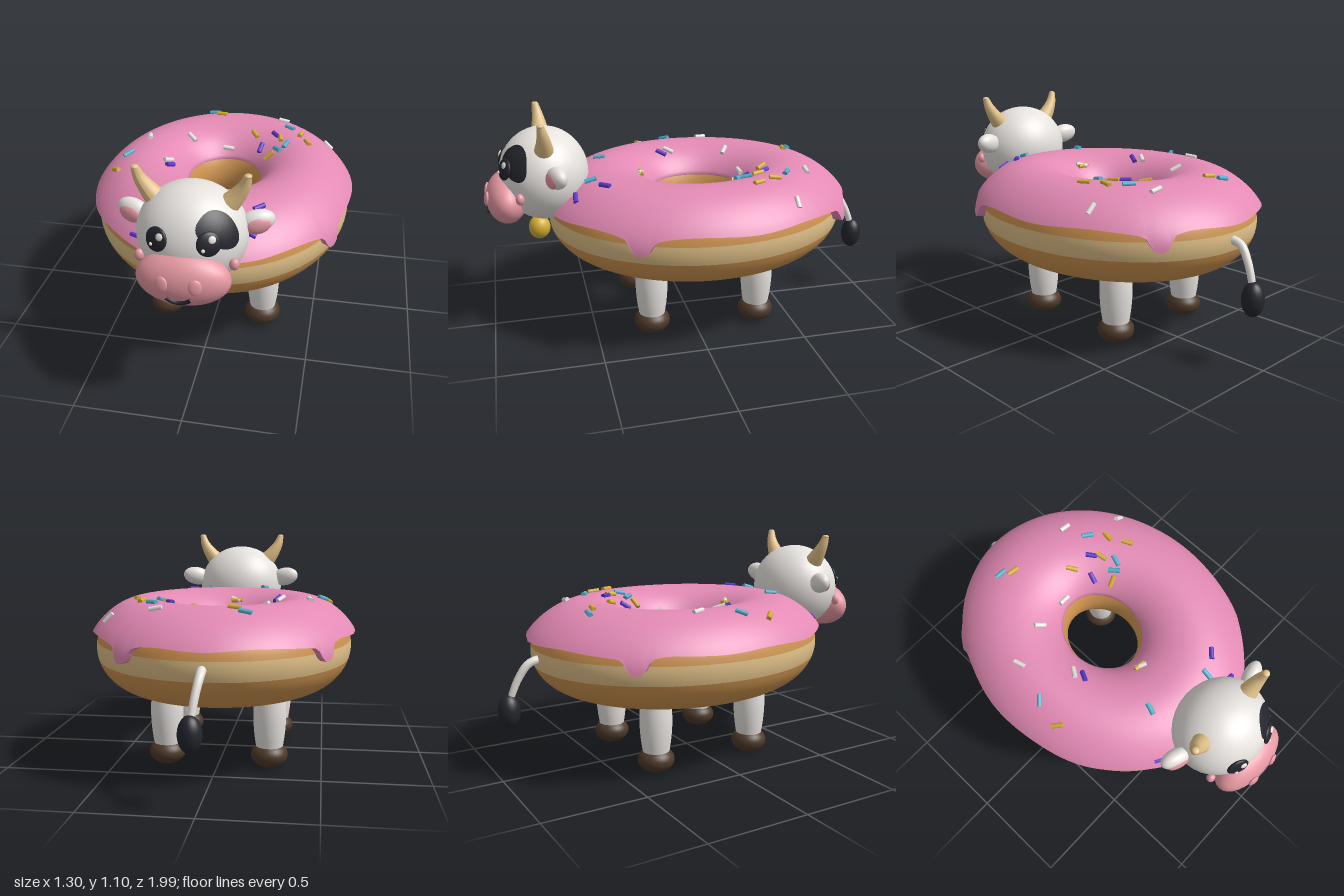
import * as THREE from 'three';

const paint = (name, color) => Object.assign(new THREE.MeshStandardMaterial({ color }), { name });
const V = (x, y, z) => new THREE.Vector3(x, y, z);

// Ring body: a tube swept around an ellipse
const R = 0.4, RX = 0.235, RY = 0.222, CY = 0.57, CZ = -0.06, SZ = 1.18;
const rad = THREE.MathUtils.degToRad;

export function createModel() {
  const mat = {
    frosting: paint('pinkFrosting', 0xe38ab4),
    dough: paint('goldenDough', 0xcf9450),
    cream: paint('cream', 0xdfbf87),
    white: paint('softWhite', 0xe6e2de),
    muzzle: paint('muzzlePink', 0xe598a2),
    hoof: paint('hoofBrown', 0x4d3929),
    black: paint('black', 0x24252d),
    gold: paint('gold', 0xd4ae34),
    purple: paint('purple', 0x5c38cc),
    blue: paint('blue', 0x50b0cc),
  };
  const model = new THREE.Group();
  model.name = 'donutCow';

  const add = (name, geometry, material, parent = model) => {
    const mesh = new THREE.Mesh(geometry, material);
    mesh.name = name;
    parent.add(mesh);
    return mesh;
  };
  const ball = (name, material, pos, radii, parent) => {
    const m = add(name, new THREE.SphereGeometry(1, 32, 24), material, parent);
    m.position.set(...pos);
    m.scale.set(...radii);
    return m;
  };
  // Tube whose radius runs from r0 to r1, with rounded-off end cap
  const taper = (name, material, points, r0, r1) => {
    const curve = new THREE.CatmullRomCurve3(points);
    const geo = new THREE.TubeGeometry(curve, 20, 1, 16);
    const p = geo.attributes.position, v = V(0, 0, 0);
    for (let i = 0; i < p.count; i++) {
      const t = Math.floor(i / 17) / 20, c = curve.getPointAt(t);
      v.fromBufferAttribute(p, i).sub(c).multiplyScalar(THREE.MathUtils.lerp(r0, r1, t)).add(c);
      p.setXYZ(i, v.x, v.y, v.z);
    }
    geo.computeVertexNormals();
    add(name, geo, material);
    const end = points[points.length - 1];
    ball(name + 'Tip', material, end.toArray(), [r1, r1 * 0.6, r1]);
  };

  // Dough and its pale middle band
  const ringZone = (name, material, from, to, steps) => {
    const pts = [];
    for (let i = 0; i <= steps; i++) {
      const a = rad(from + (to - from) * i / steps);
      pts.push(new THREE.Vector2(R + RX * Math.cos(a), RY * Math.sin(a)));
    }
    const m = add(name, new THREE.LatheGeometry(pts, 96), material);
    m.position.set(0, CY, CZ);
    m.scale.z = SZ;
  };
  ringZone('doughBand', mat.cream, -15.5, 8, 6);
  ringZone('dough', mat.dough, 8, 344.5, 56);

  // Frosting shell with a flared rim and three drips
  const rows = 34, segs = 240;
  const shell = new THREE.LatheGeometry(Array.from({ length: rows }, (_, i) => new THREE.Vector2(1, i)), segs);
  const drips = [30, -56, 219];
  const sp = shell.attributes.position;
  for (let i = 0; i <= segs; i++) {
    const phi = (i % segs) / segs * Math.PI * 2, th = Math.PI / 2 - phi;
    let edge = 19.5 + 1.2 * Math.sin(9 * th);
    for (const d of drips) {
      const diff = Math.atan2(Math.sin(th - rad(d)), Math.cos(th - rad(d)));
      edge -= 15 * Math.exp(-((diff / 0.07) ** 4)) + 5 * Math.exp(-((diff / 0.13) ** 2));
    }
    for (let j = 0; j < rows; j++) {
      const u = Math.max(0, j - 2) / (rows - 4);
      const a = rad(edge + (155 - edge) * Math.min(u, 1));
      const buried = j === 0 || j === rows - 1;
      const lift = buried ? -0.006 : 0.005 + 0.033 * Math.max(0, Math.cos(a)) ** 4;
      const rho = R + (RX + lift) * Math.cos(a);
      const y = CY + (RY + (buried ? -0.006 : 0.011)) * Math.sin(a);
      sp.setXYZ(i * rows + j, rho * Math.sin(phi), y, CZ + SZ * rho * Math.cos(phi));
    }
  }
  shell.computeVertexNormals();
  add('frosting', shell, mat.frosting);

  // Sprinkles: x, z, turn in degrees seen from above
  const sprinkles = {
    blue: [[-0.16, -0.61, -10], [0.29, -0.44, -35], [0.29, -0.24, 70], [0.25, -0.215, -50],
      [-0.49, 0, 40], [-0.165, 0.41, 70], [0.15, 0.49, 88]],
    gold: [[-0.11, -0.57, -12], [0.11, -0.375, -60], [0.355, -0.36, 80], [0.255, -0.31, -80],
      [0.4, -0.265, -65], [0.21, -0.19, 20], [-0.515, 0.14, -35], [-0.03, 0.22, 0]],
    white: [[0.245, -0.56, 0], [0.5, -0.42, 15], [-0.025, -0.305, -5], [-0.22, -0.275, -35],
      [-0.43, -0.195, -75], [-0.28, 0.02, 50], [-0.025, 0.225, -35]],
    purple: [[0.225, -0.35, -55], [0.155, -0.275, 65], [-0.26, 0.065, 55], [0.245, 0.435, 45],
      [0.225, 0.57, -20], [-0.285, 0.59, -20]],
  };
  const stick = new THREE.CylinderGeometry(0.012, 0.012, 0.058, 12);
  for (const [color, list] of Object.entries(sprinkles)) {
    for (const [x, z, turn] of list) {
      const zn = (z - CZ) / SZ, rho = Math.hypot(x, zn);
      const c = THREE.MathUtils.clamp((rho - R) / (RX + 0.012), -1, 1), s = Math.sqrt(1 - c * c);
      const n = V(c * x / rho, s, c * zn / rho / SZ).normalize();
      const d = V(Math.cos(rad(turn)), 0, -Math.sin(rad(turn))).projectOnPlane(n).normalize();
      const m = add(color + 'Sprinkle', stick, mat[color]);
      m.position.set(x, CY + (RY + 0.011) * s, z).addScaledVector(n, 0.004);
      m.quaternion.setFromUnitVectors(V(0, 1, 0), d);
    }
  }

  // Legs with rounded, flat-topped hooves
  const profile = list => new THREE.LatheGeometry(new THREE.SplineCurve(list.map(p => new THREE.Vector2(...p))).getPoints(24), 32);
  const legGeo = profile([[0.064, 0.1], [0.074, 0.17], [0.079, 0.25], [0.076, 0.33], [0.066, 0.42]]);
  const hoofPts = [];
  for (let i = 0; i <= 20; i++) {
    const a = rad(-90 + 138 * i / 20);
    hoofPts.push(new THREE.Vector2(Math.max(0, 0.089 * Math.cos(a)), 0.063 + 0.063 * Math.sin(a)));
  }
  const hoofGeo = new THREE.LatheGeometry(hoofPts, 32);
  for (const x of [-0.25, 0.25]) for (const z of [0.225, -0.32]) {
    const leg = new THREE.Group();
    leg.name = z > 0 ? 'frontLeg' : 'backLeg';
    leg.position.set(x, 0, z);
    model.add(leg);
    add('legShaft', legGeo, mat.white, leg);
    add('hoof', hoofGeo, mat.hoof, leg);
    const lid = add('hoofTop', new THREE.CircleGeometry(0.06, 32), mat.hoof, leg);
    lid.rotation.x = -Math.PI / 2;
    lid.position.y = 0.11;
  }
  const legSpot = ball('legSpot', mat.black, [-0.216, 0.23, 0.292], [0.028, 0.037, 0.011]);
  legSpot.rotation.set(0, 0.45, -0.3);

  // Tail
  taper('tail', mat.white, [V(0, 0.57, -0.78), V(0, 0.55, -0.85), V(0.012, 0.48, -0.9), V(0.025, 0.38, -0.94)], 0.021, 0.016);
  ball('tailTuft', mat.black, [0.027, 0.33, -0.944], [0.052, 0.08, 0.052]);

  // Head
  const HC = [0, 0.8, 0.7], HR = [0.24, 0.225, 0.215];
  ball('head', mat.white, HC, HR);
  ball('muzzle', mat.muzzle, [0, 0.69, 0.885], [0.2, 0.121, 0.1]);
  ball('bell', mat.gold, [0, 0.516, 0.74], [0.053, 0.06, 0.053]);

  // Point on an ellipsoid's front, and a flat button facing out from it
  const front = (c, r, x, y) => c[2] + r[2] * Math.sqrt(Math.max(0, 1 - ((x - c[0]) / r[0]) ** 2 - ((y - c[1]) / r[1]) ** 2));
  const button = (name, material, c, r, x, y, radii, lift = 0) => {
    const p = V(x, y, front(c, r, x, y));
    const n = V((x - c[0]) / r[0] ** 2, (y - c[1]) / r[1] ** 2, (p.z - c[2]) / r[2] ** 2).normalize();
    const m = ball(name, material, p.clone().addScaledVector(n, lift).toArray(), radii);
    m.lookAt(m.position.clone().add(n));
  };

  // Eye patch wrapped on the head
  const patchGeo = new THREE.RingGeometry(0, 1, 48, 8);
  const pp = patchGeo.attributes.position;
  const aim = new THREE.Quaternion().setFromUnitVectors(V(0, 0, 1), V(0.6, 0.45, 0.66).normalize());
  for (let i = 0; i < pp.count; i++) {
    const v = V(pp.getX(i), pp.getY(i), 0), t = Math.atan2(v.y, v.x);
    v.multiplyScalar(1 + 0.08 * Math.cos(3 * t + 0.6)).multiply(V(0.46, 0.35, 1));
    v.applyAxisAngle(V(0, 0, 1), -0.5).setZ(1).normalize().applyQuaternion(aim).multiplyScalar(1.012);
    pp.setXYZ(i, HC[0] + v.x * HR[0], HC[1] + v.y * HR[1], HC[2] + v.z * HR[2]);
  }
  patchGeo.computeVertexNormals();
  add('eyePatch', patchGeo, mat.black);

  // Paired face parts, mirrored by side
  const MC = [0, 0.69, 0.885], MR = [0.2, 0.121, 0.1];
  for (const s of [-1, 1]) {
    button('eye', mat.black, HC, HR, s * 0.107, 0.86, [0.052, 0.052, 0.016]);
    button('nostril', mat.muzzle, MC, MR, s * 0.069, 0.71, [0.028, 0.035, 0.011], 0.002);
    ball('cheek', mat.muzzle, [s * 0.2, 0.738, 0.825], [0.022, 0.027, 0.02]);
    taper('horn', mat.cream, [V(s * 0.145, 0.935, 0.7), V(s * 0.19, 0.99, 0.7), V(s * 0.22, 1.04, 0.705), V(s * 0.234, 1.086, 0.712)], 0.05, 0.017);
    const ear = new THREE.Group();
    ear.name = 'ear';
    ear.position.set(s * 0.265, 0.85, 0.655);
    ear.rotation.set(0, s * 0.3, s * 0.2);
    model.add(ear);
    ball('earShell', mat.white, [0, 0, 0], [0.08, 0.052, 0.042], ear);
    ball('earInside', mat.muzzle, [0, -0.007, 0.026], [0.056, 0.039, 0.022], ear);
  }
  for (const [x, y, r] of [[-0.085, 0.876, 0.016], [-0.12, 0.84, 0.008], [0.115, 0.878, 0.016], [0.085, 0.84, 0.008]]) {
    button('eyeGlint', mat.white, HC, HR, x, y, [r, r, 0.006], 0.016);
  }

  // Smile following the muzzle surface
  const smile = [];
  for (let i = 0; i <= 8; i++) {
    const x = -0.052 + 0.013 * i, y = 0.625 + 0.025 * (x / 0.052) ** 2;
    smile.push(V(x, y, front(MC, MR, x, y) + 0.004));
  }
  add('smile', new THREE.TubeGeometry(new THREE.CatmullRomCurve3(smile), 32, 0.009, 10), mat.black);

  return model;
}
